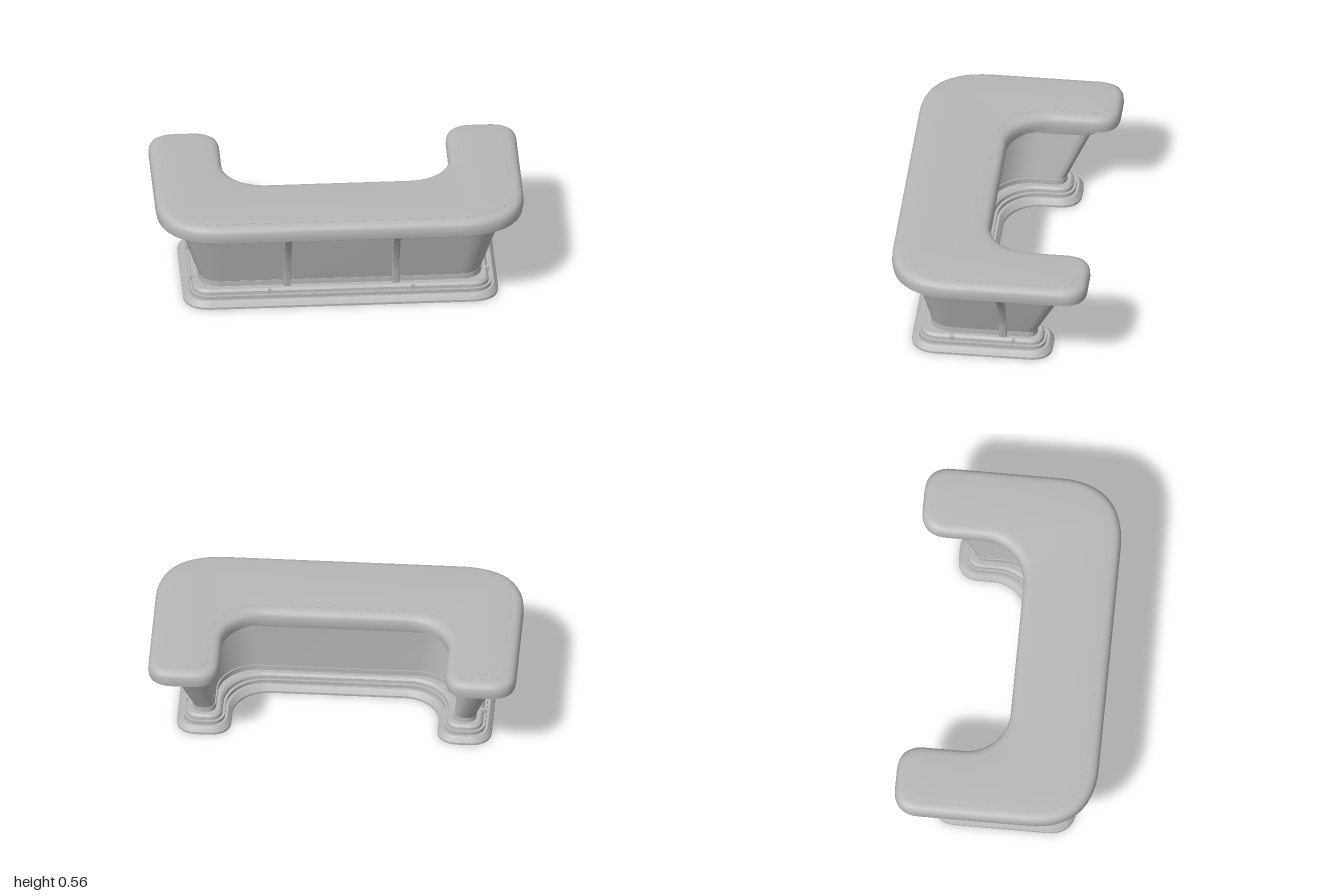
import * as THREE from 'three';
import { toCreasedNormals } from 'three/addons/utils/BufferGeometryUtils.js';

const STEPS = 12; // segments per rounded corner

// U-shaped plan outline, counter-clockwise from above
// X outer half width, zf front, zb arm ends, xi / zi inner edges, R / re / ri corner radii
function outline({ X, zf, zb, xi, zi, R, re, ri }) {
  const half = [[X, zf, R, 0.65], [X, zb, re, 0.65], [xi, zb, re, 0.65], [xi, zi, ri, 0.55]];
  const corners = [...half, ...half.map(([x, z, r, k]) => [-x, z, r, k]).reverse()];
  const v = corners.map(([x, z]) => new THREE.Vector2(x, z));
  const points = [];
  corners.forEach(([, , r, k], i) => {
    const c = v[i];
    const before = v[(i + 7) % 8].clone().sub(c).normalize();
    const after = v[(i + 1) % 8].clone().sub(c).normalize();
    const at = (dir, d) => c.clone().addScaledVector(dir, d);
    const curve = new THREE.CubicBezierCurve(
      at(before, r), at(before, r * (1 - k)), at(after, r * (1 - k)), at(after, r));
    points.push(...curve.getPoints(STEPS));
  });
  return points;
}

// Shrink a plan evenly by d
function inset(p, d) {
  return {
    X: p.X - d, zf: p.zf - d, zb: p.zb + d, xi: p.xi + d, zi: p.zi + d,
    R: Math.max(0.03, p.R - d), re: Math.max(0.02, p.re - d * 0.8), ri: p.ri + d * 0.5,
  };
}

// Stack of [height, plan] rows joined into a closed solid
function loft(rows) {
  const rings = rows.map(([, plan]) => outline(plan));
  const n = rings[0].length;
  const positions = [];
  const index = [];
  rings.forEach((ring, i) => ring.forEach((p) => positions.push(p.x, rows[i][0], p.y)));
  for (let i = 0; i < rows.length - 1; i++) {
    for (let j = 0; j < n; j++) {
      const a = i * n + j, b = i * n + ((j + 1) % n);
      index.push(a, b, b + n, a, b + n, a + n);
    }
  }
  const cap = (ring) => THREE.ShapeUtils.triangulateShape(
    ring.map((p) => new THREE.Vector2(p.x, -p.y)), []);
  const top = (rows.length - 1) * n;
  for (const [a, b, c] of cap(rings[0])) index.push(a, c, b);
  for (const [a, b, c] of cap(rings[rows.length - 1])) index.push(top + a, top + b, top + c);
  const g = new THREE.BufferGeometry();
  g.setAttribute('position', new THREE.Float32BufferAttribute(positions, 3));
  g.setIndex(index);
  return toCreasedNormals(g, 0.55);
}

export function createModel() {
  const group = new THREE.Group();
  const grey = new THREE.MeshStandardMaterial({ color: 0xb8b8b8 });
  grey.name = 'grey';
  const add = (name, geometry) => {
    const mesh = new THREE.Mesh(geometry, grey);
    mesh.name = name;
    group.add(mesh);
    return mesh;
  };
  const insetRows = (plan, list) => list.map(([y, d]) => [y, inset(plan, d)]);

  // Stepped plinth
  const plinth = { X: 0.855, zf: 0.43, zb: -0.34, xi: 0.56, zi: 0.055, R: 0.15, re: 0.12, ri: 0.2 };
  add('plinth', loft(insetRows(plinth, [
    [0, 0], [0.012, 0], [0.03, 0.012], [0.041, 0.022], [0.041, 0.036], [0.06, 0.036],
    [0.06, 0.05], [0.078, 0.052], [0.09, 0.064],
  ])));

  // Flared body with a straight foot
  const foot = { X: 0.77, zf: 0.335, zb: -0.255, xi: 0.645, zi: 0.14, R: 0.13, re: 0.06, ri: 0.22 };
  const bodyTop = { X: 0.872, zf: 0.41, zb: -0.4, xi: 0.7, zi: 0.135, R: 0.2, re: 0.085, ri: 0.24 };
  add('foot', loft([[0.085, foot], [0.12, foot]]));
  add('body', loft([[0.11, inset(foot, 0.005)], [0.41, bodyTop]]));

  // Band under the worktop
  add('band', loft([
    [0.402, { ...bodyTop, X: 0.888, zf: 0.418, zb: -0.42, xi: 0.685, zi: 0.12 }],
    [0.41, { ...bodyTop, X: 0.892, zf: 0.421, zb: -0.422, xi: 0.682, zi: 0.117 }],
    [0.478, { ...bodyTop, X: 0.902, zf: 0.435, zb: -0.41, xi: 0.685, zi: 0.12 }],
  ]));

  // Worktop with rounded rim and slightly raised panel
  const worktop = { X: 1, zf: 0.545, zb: -0.545, xi: 0.615, zi: 0.04, R: 0.36, re: 0.14, ri: 0.24 };
  add('worktop', loft(insetRows(worktop, [
    [0.475, 0.004], [0.5, 0], [0.53, 0.002], [0.545, 0.009], [0.555, 0.021],
    [0.56, 0.036], [0.562, 0.055],
  ])));
  add('worktopPanel', loft(insetRows(worktop, [[0.558, 0.06], [0.563, 0.06], [0.565, 0.082]])));

  // Curved bracket, reaching outwards along local +x
  function bracketGeometry(reach) {
    const shape = new THREE.Shape();
    shape.moveTo(-0.05, 0.085);
    shape.lineTo(0, 0.085);
    shape.splineThru([[0.02, 0.2], [0.065, 0.32], [0.11, 0.4], [0.165, 0.477]]
      .map(([x, y]) => new THREE.Vector2(x * reach, y)));
    shape.lineTo(0.03, 0.477);
    const g = new THREE.ExtrudeGeometry(shape, {
      depth: 0.03, curveSegments: 14, bevelThickness: 0.005, bevelSize: 0.004, bevelSegments: 2,
    });
    g.translate(0, 0, -0.015);
    return toCreasedNormals(g, 0.5);
  }
  const frontBracket = bracketGeometry(1);
  const sideBracket = bracketGeometry(1.27);
  const clip = new THREE.BoxGeometry(0.03, 0.026, 0.018);

  for (const [side, s] of [['left', 1], ['right', -1]]) {
    const front = add(side + 'FrontBracket', frontBracket);
    front.position.set(0.295 * s, 0, 0.35);
    front.rotation.y = -Math.PI / 2;

    const flank = add(side + 'SideBracket', sideBracket);
    flank.position.set(0.78 * s, 0, -0.072);
    flank.rotation.y = s > 0 ? 0 : Math.PI;

    // Small clips on the plinth step
    const frontClip = add(side + 'FrontClip', clip);
    frontClip.position.set(0.39 * s, 0.077, 0.373);
    frontClip.rotation.y = Math.PI / 2;
    for (const z of [0.205, -0.13]) {
      add(side + 'SideClip', clip).position.set(0.798 * s, 0.077, z);
    }
  }
  return group;
}
